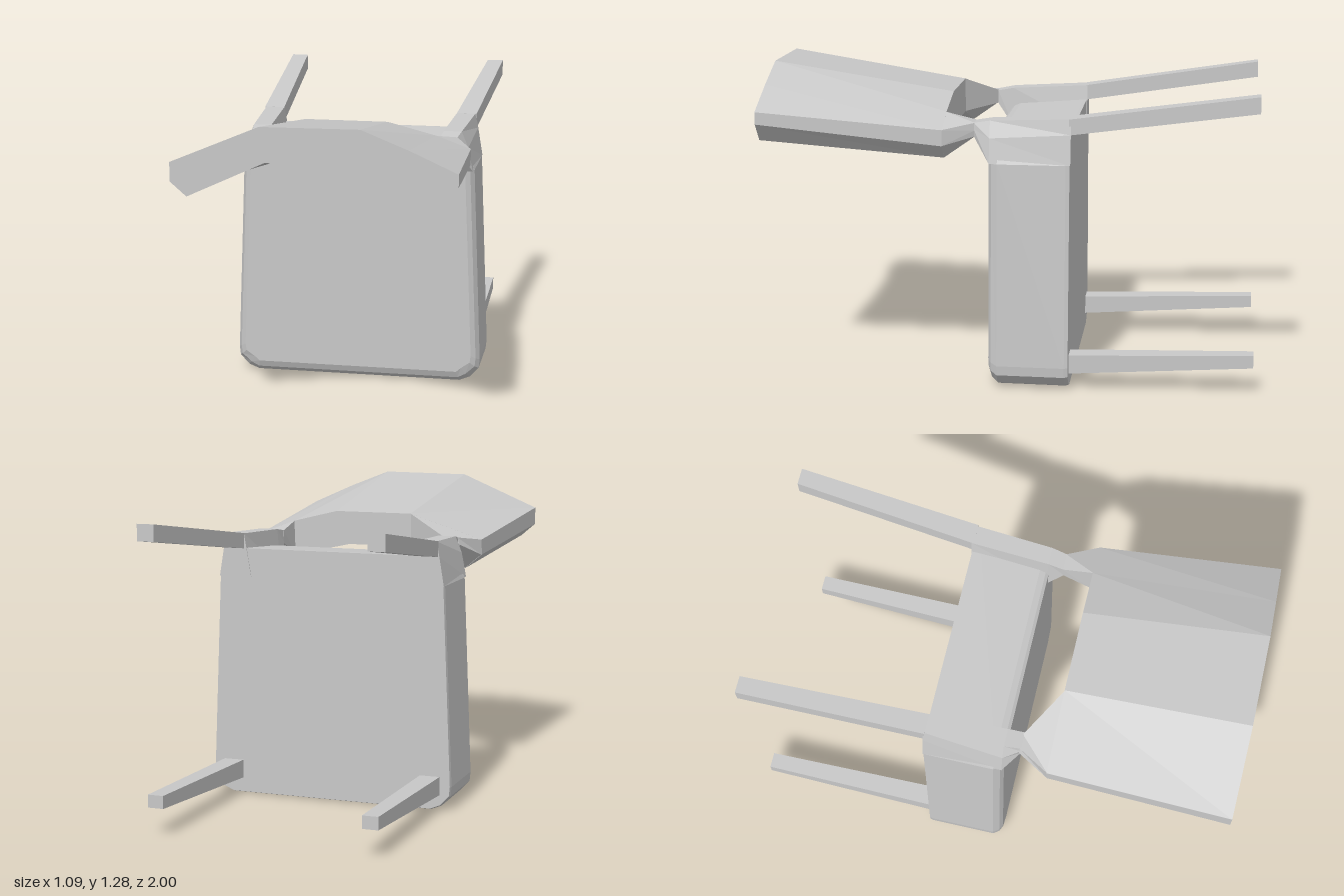
import * as THREE from 'three';

const grey = new THREE.MeshStandardMaterial({ color: 0xc8c8c8 });
grey.name = 'plain grey';

// Skins outlines (counter-clockwise from +z, same point count), ordered from low z to high z.
function loft(name, sections) {
  const pos = [];
  const put = (s, i) => pos.push(s.pts[i][0], s.pts[i][1], s.z);
  const n = sections[0].pts.length;
  for (let k = 0; k + 1 < sections.length; k++) {
    const a = sections[k], b = sections[k + 1];
    for (let i = 0; i < n; i++) {
      const j = (i + 1) % n;
      put(a, i); put(a, j); put(b, j);
      put(a, i); put(b, j); put(b, i);
    }
  }
  const cap = (s, flip) => {
    const outline = s.pts.map(([x, y]) => new THREE.Vector2(x, y));
    for (const [p, q, r] of THREE.ShapeUtils.triangulateShape(outline, [])) {
      for (const i of flip ? [p, r, q] : [p, q, r]) put(s, i);
    }
  };
  cap(sections[0], true);
  cap(sections[sections.length - 1], false);
  const geo = new THREE.BufferGeometry();
  geo.setAttribute('position', new THREE.Float32BufferAttribute(pos, 3));
  geo.computeVertexNormals();
  const mesh = new THREE.Mesh(geo, grey);
  mesh.name = name;
  return mesh;
}

const mirror = (sections) => sections.map(({ z, pts }) => (
  { z, pts: pts.map(([x, y]) => [-x, y]).reverse() }));

const rect = (z, x0, x1, y0, y1) => ({ z, pts: [[x0, y0], [x1, y0], [x1, y1], [x0, y1]] });

// Symmetric outline from its right half, listed bottom to top
const symmetric = (z, half) => ({
  z, pts: [...half, ...half.map(([x, y]) => [-x, y]).reverse()],
});

export function createModel() {
  const chair = new THREE.Group();
  chair.name = 'tippedChair';

  // Thick seat slab with rounded corners and a softened front rim
  const seatHalf = (inset, low, top) => [
    [0.44 - inset * 0.3, low], [0.485 - inset, 0.018 + low], [0.523 - inset, 0.06 + low * 0.7],
    [0.527 - inset, 0.1 + low * 0.5], [0.492 - inset, 0.93], [0.45 - inset, top],
  ];
  chair.add(loft('seat', [
    symmetric(-0.255, seatHalf(0.003, 0.005, 1.05)),
    symmetric(-0.24, seatHalf(0, 0, 1.05)),
    symmetric(0.035, seatHalf(0, 0.002, 1.03)),
    symmetric(0.06, seatHalf(0.015, 0.022, 1.02)),
    symmetric(0.072, seatHalf(0.035, 0.05, 1.01)),
  ]));

  // Corner brackets narrowing to the back rest
  const bracket = [
    { z: -0.258, pts: [[0.35, 0.93], [0.492, 0.93], [0.472, 1.05], [0.46, 1.112], [0.38, 1.112]] },
    { z: 0.068, pts: [[0.35, 0.93], [0.488, 0.93], [0.468, 1.03], [0.44, 1.097], [0.365, 1.097]] },
    { z: 0.135, pts: [[0.36, 1.03], [0.43, 1.03], [0.433, 1.06], [0.43, 1.085], [0.36, 1.085]] },
  ];
  // Splayed, tapering legs
  const rearLeg = [rect(-1, 0.43, 0.5, 1.155, 1.222), rect(-0.25, 0.38, 0.465, 1.048, 1.112)];
  const frontLeg = [rect(-1, 0.41, 0.475, 0.113, 0.165), rect(-0.25, 0.395, 0.48, 0.065, 0.142)];
  for (const [name, part] of [['bracket', bracket], ['rearLeg', rearLeg], ['frontLeg', frontLeg]]) {
    chair.add(loft(name + 'Left', part), loft(name + 'Right', mirror(part)));
  }

  // Curved back rest, flaring toward its free end
  chair.add(loft('backRest', [
    { z: 0.255, pts: [
      [-0.5, 1.0], [-0.43, 0.94], [-0.18, 1.022], [0.1, 1.022], [0.355, 0.965], [0.43, 0.94],
      [0.5, 1.0], [0.5, 1.065], [0.36, 1.115], [0.16, 1.165], [-0.18, 1.165], [-0.5, 1.065]] },
    { z: 1, pts: [
      [-0.543, 1.06], [-0.48, 1.005], [-0.18, 1.145], [0.1, 1.145], [0.355, 1.07], [0.48, 1.005],
      [0.543, 1.08], [0.543, 1.13], [0.36, 1.212], [0.18, 1.283], [-0.2, 1.28], [-0.543, 1.135]] },
  ]));

  // Necks joining the back rest to the brackets
  chair.add(loft('neckLeft', [
    { z: 0.13, pts: [[0.36, 1.03], [0.43, 1.03], [0.433, 1.055], [0.43, 1.085], [0.36, 1.085]] },
    { z: 0.257, pts: [[0.355, 0.965], [0.43, 0.94], [0.5, 1.0], [0.5, 1.065], [0.36, 1.115]] },
  ]));
  chair.add(loft('neckRight', [
    { z: 0.13, pts: [[-0.44, 1.055], [-0.43, 1.03], [-0.37, 1.03], [-0.37, 1.085], [-0.43, 1.085]] },
    { z: 0.257, pts: [[-0.5, 1.0], [-0.43, 0.94], [-0.18, 1.022], [-0.18, 1.165], [-0.5, 1.065]] },
  ]));

  return chair;
}
